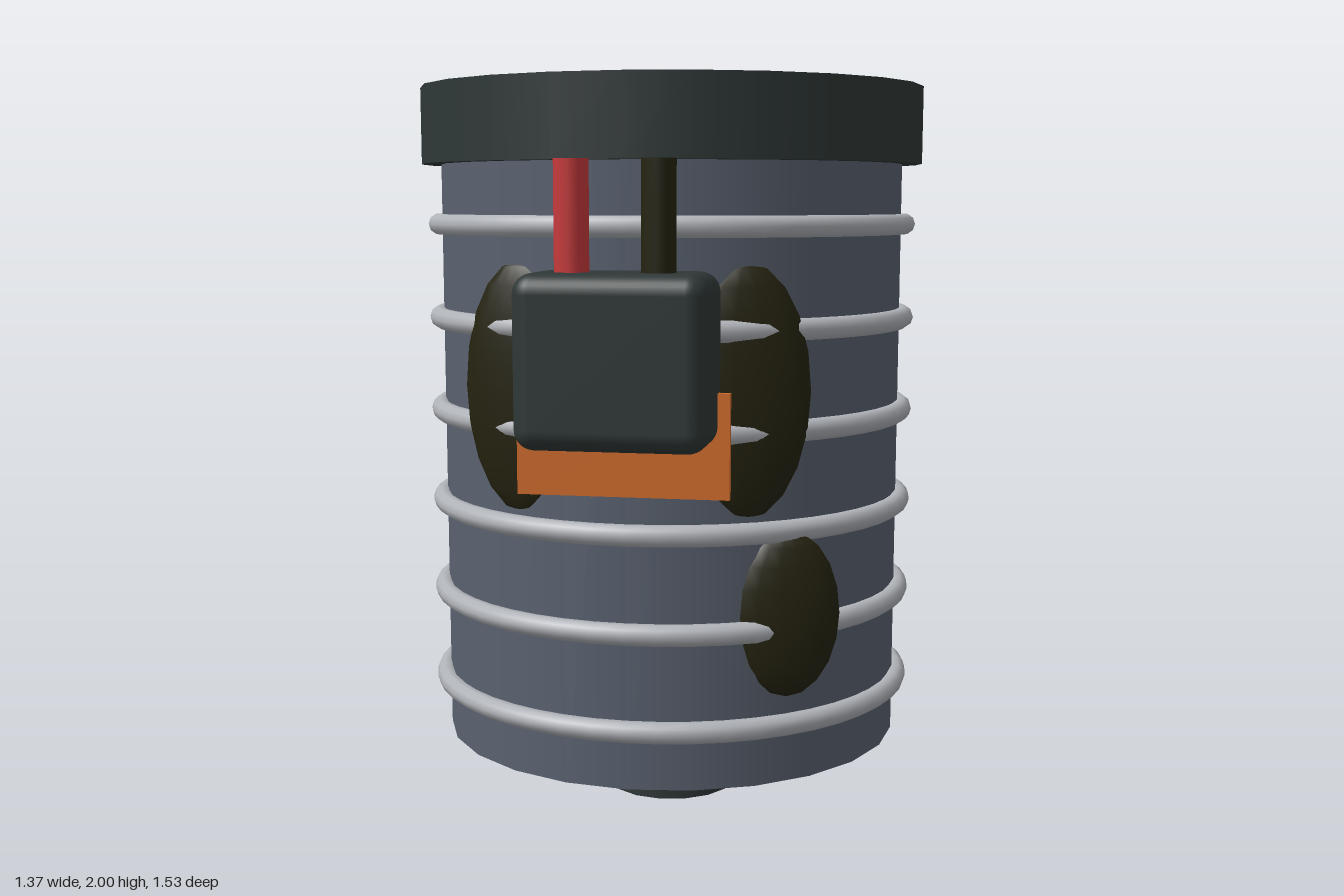
import * as THREE from 'three';
import { RoundedBoxGeometry } from 'three/addons/geometries/RoundedBoxGeometry.js';

const paint = (name, color) => {
  const m = new THREE.MeshStandardMaterial({ color });
  m.name = name;
  return m;
};

export function createModel() {
  const model = new THREE.Group();
  const slate = paint('slate drum', 0x5a6270);
  const steel = paint('light steel', 0xb0b3b8);
  const dark = paint('dark green grey', 0x2f3837);
  const orange = paint('orange', 0xd06c2c);
  const red = paint('red', 0xc83a3c);
  const grime = paint('dark olive', 0x252310);

  const add = (name, geometry, material, x, y, z, parent = model) => {
    const mesh = new THREE.Mesh(geometry, material);
    mesh.name = name;
    mesh.position.set(x, y, z);
    parent.add(mesh);
    return mesh;
  };
  const axisZ = -0.08;

  // Drum and lid
  add('drum', new THREE.CylinderGeometry(0.632, 0.632, 1.58, 24), slate, 0, 1.01, axisZ);
  add('lid', new THREE.CylinderGeometry(0.685, 0.685, 0.205, 24), dark, 0, 1.8975, axisZ);

  // Evenly spaced hoops
  const hoop = new THREE.TorusGeometry(0.642, 0.028, 10, 48);
  hoop.rotateX(Math.PI / 2);
  for (let i = 0; i < 6; i++) add('hoop', hoop, steel, 0, 0.375 + i * 0.252, axisZ);

  // Control box on its bracket, with two cables up to the lid
  add('bracket', new THREE.BoxGeometry(0.53, 0.26, 0.02), orange, 0, 1.11, 0.58);
  add('controlBox', new RoundedBoxGeometry(0.47, 0.42, 0.26, 4, 0.05), dark, 0, 1.32, 0.635);
  const cable = new THREE.CylinderGeometry(0.042, 0.042, 0.29, 10);
  add('redCable', cable, red, -0.105, 1.65, 0.66);
  add('darkCable', cable, grime, 0.105, 1.65, 0.66);

  // Flattened grime patches half sunk into the drum
  const blob = new THREE.SphereGeometry(1, 14, 10);
  const patch = (x, y, z, w, h) => {
    const mesh = add('grimePatch', blob, grime, x, y, z);
    mesh.scale.set(w, h, 0.045);
    mesh.rotation.y = Math.sign(x) * 0.3;
  };
  for (const side of [-1, 1]) patch(side * 0.285, 1.23, 0.47, 0.165, 0.32);
  patch(0.39, 0.665, 0.43, 0.135, 0.215);

  // Impeller under the drum: hub and five rising blades
  const impeller = new THREE.Group();
  impeller.name = 'impeller';
  impeller.position.z = axisZ;
  model.add(impeller);
  add('hub', new THREE.CylinderGeometry(0.183, 0.183, 0.16, 16), dark, 0, 0.11, 0, impeller);
  const blade = new THREE.BoxGeometry(0.545, 0.03, 0.14);
  blade.translate(0.2725, 0, 0);
  blade.rotateZ(0.355);
  for (let i = 0; i < 5; i++) {
    add('blade', blade, dark, 0, 0.0142, 0, impeller).rotation.y = (i * Math.PI * 2) / 5;
  }
  return model;
}
